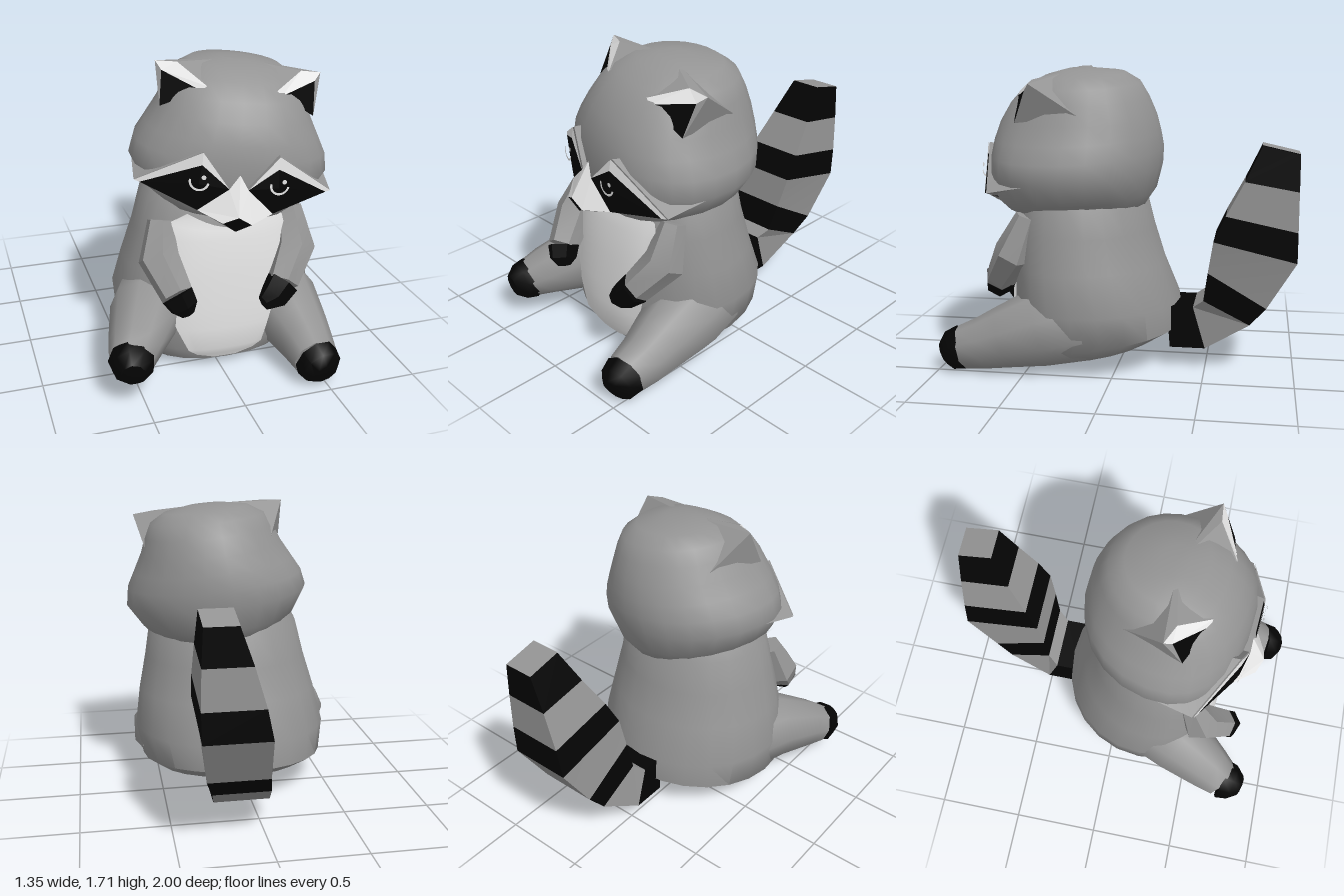
import * as THREE from 'three';
import { toCreasedNormals } from 'three/addons/utils/BufferGeometryUtils.js';

const V = (x, y, z) => new THREE.Vector3(x, y, z);
const mat = (name, color) => new THREE.MeshStandardMaterial({ name, color, side: THREE.DoubleSide });

// Flat polygons, each a list of corners; flip reverses them for mirrored parts
function poly(polys, flip = false) {
  const out = [];
  for (const p of polys) {
    const q = flip ? [...p].reverse() : p;
    for (let i = 1; i < q.length - 1; i++) out.push(q[0], q[i], q[i + 1]);
  }
  const g = new THREE.BufferGeometry().setFromPoints(out);
  g.computeVertexNormals();
  return g;
}

// Closed skin over a stack of equal-length loops, turned outward, edges sharper than crease kept hard
function loft(rings, crease = 0.9) {
  const n = rings[0].length, tris = [];
  const centre = r => r.reduce((a, p) => a.add(p), V(0, 0, 0)).divideScalar(n);
  for (let j = 0; j < rings.length - 1; j++) {
    for (let i = 0; i < n; i++) {
      const k = (i + 1) % n, a = rings[j], b = rings[j + 1];
      tris.push([a[i], a[k], b[k]], [a[i], b[k], b[i]]);
    }
  }
  const first = rings[0], last = rings[rings.length - 1], c0 = centre(first), c1 = centre(last);
  for (let i = 0; i < n; i++) {
    const k = (i + 1) % n;
    tris.push([c0, first[k], first[i]], [c1, last[i], last[k]]);
  }
  const volume = tris.reduce((s, [a, b, c]) => s + a.dot(b.clone().cross(c)), 0);
  return toCreasedNormals(poly(tris, volume < 0), crease);
}

// Rounded horizontal loop between x0..x1 and z0..z1, widest ahead of the middle, tilted so its back rises
const FRONT = 2.3, BACK = 2.05, WIDEST = 0.57;
function ring([y, x0, x1, z0, z1, tilt = 0], count = 24) {
  const cx = (x0 + x1) / 2, cz = z0 + (z1 - z0) * WIDEST, pts = [];
  for (let i = 0; i < count; i++) {
    const a = i / count * Math.PI * 2, c = Math.cos(a), s = Math.sin(a);
    const f = v => Math.sign(v) * Math.abs(v) ** (2 / (s > 0 ? FRONT : BACK));
    const z = f(s) * (s > 0 ? z1 - cz : cz - z0);
    pts.push(V(cx + f(c) * (x1 - x0) / 2, y - tilt * z, cz + z));
  }
  return pts;
}

// Limb with round sections square to its path; stations are [x, y, z, radius]
function limb(stations, sides) {
  const c = stations.map(s => V(s[0], s[1], s[2]));
  return loft(stations.map((s, i) => {
    const t = c[Math.min(i + 1, c.length - 1)].clone().sub(c[Math.max(i - 1, 0)]).normalize();
    const u = V(1, 0, 0).addScaledVector(t, -t.x).normalize(), v = t.clone().cross(u);
    return Array.from({ length: sides }, (_, k) => {
      const a = (k + 0.5) / sides * Math.PI * 2;
      return c[i].clone().addScaledVector(u, Math.cos(a) * s[3]).addScaledVector(v, Math.sin(a) * s[3]);
    });
  }), sides < 7 ? 0.5 : 0.9);
}

export function createModel() {
  const grey = mat('grey fur', 0x949494), black = mat('black fur', 0x040404), white = mat('white fur', 0xf8f8f8);
  const model = new THREE.Group();
  model.name = 'sittingRaccoon';
  const add = (parent, name, geometry, material) => {
    const m = new THREE.Mesh(geometry, material);
    m.name = name;
    parent.add(m);
    return m;
  };

  // Body
  const body = [
    [0.06, -0.22, 0.36, 0.0, 0.48, 0.1], [0.09, -0.4, 0.5, -0.2, 0.57, 0.12],
    [0.18, -0.5, 0.6, -0.35, 0.61, 0.1], [0.38, -0.52, 0.64, -0.34, 0.62], [0.6, -0.47, 0.61, -0.25, 0.61],
    [0.8, -0.41, 0.57, -0.19, 0.6], [1.0, -0.36, 0.54, -0.14, 0.56], [1.1, -0.3, 0.48, -0.08, 0.5],
  ];
  add(model, 'body', loft(body.map(r => ring(r))), grey);

  // Belly patch, laid just over the body front, its top edge dipping in the middle
  const level = body.map(([y, , , z0, z1, tilt = 0]) => y - tilt * (z1 - z0) * (1 - WIDEST));
  const frontZ = (y, x) => {
    let i = 1;
    while (i < body.length - 2 && level[i + 1] < y) i++;
    const t = (y - level[i]) / (level[i + 1] - level[i]);
    const [x0, x1, z0, z1] = [1, 2, 3, 4].map(k => body[i][k] + (body[i + 1][k] - body[i][k]) * t);
    const d = Math.min(1, Math.abs(2 * x - x0 - x1) / (x1 - x0)), cz = z0 + (z1 - z0) * WIDEST;
    return cz + (z1 - cz) * (1 - d ** FRONT) ** (1 / FRONT) + 0.012;
  };
  const rows = [[0.07, -0.04, 0.09, 0], [0.1, -0.14, 0.19, 0], [0.14, -0.19, 0.24, 0], [0.27, -0.25, 0.28, 0],
    [0.4, -0.3, 0.31, 0], [0.6, -0.3, 0.36, 0], [0.8, -0.29, 0.38, 0], [0.89, -0.28, 0.36, 0.04], [0.95, -0.18, 0.28, 0.08],
  ].map(([y, a, b, dip]) => Array.from({ length: 11 }, (_, k) => {
    const x = a + (b - a) * k / 10, h = y - dip * Math.sin(Math.PI * k / 10);
    return V(x, h, frontZ(h, x));
  }));
  const quads = [];
  for (let j = 0; j < rows.length - 1; j++)
    for (let i = 0; i < 10; i++) quads.push([rows[j][i], rows[j][i + 1], rows[j + 1][i + 1], rows[j + 1][i]]);
  add(model, 'bellyPatch', toCreasedNormals(poly(quads), 0.9), white);

  // Arms and legs, each ending in a black paw
  const limbs = [
    ['rightArm', 6, [[-0.31, 0.9, 0.46, 0.07], [-0.34, 0.71, 0.53, 0.115], [-0.28, 0.55, 0.68, 0.09]],
      [[-0.28, 0.55, 0.68, 0.093], [-0.25, 0.49, 0.71, 0.08], [-0.235, 0.45, 0.72, 0.04]]],
    ['leftArm', 6, [[0.43, 0.9, 0.48, 0.07], [0.44, 0.69, 0.56, 0.115], [0.33, 0.53, 0.67, 0.09]],
      [[0.33, 0.53, 0.67, 0.093], [0.265, 0.465, 0.7, 0.08], [0.205, 0.44, 0.715, 0.045]]],
    ['rightLeg', 9, [[-0.25, 0.33, 0.22, 0.25], [-0.4, 0.34, 0.45, 0.205], [-0.51, 0.27, 0.66, 0.15], [-0.55, 0.24, 0.74, 0.125]],
      [[-0.55, 0.24, 0.74, 0.128], [-0.56, 0.235, 0.81, 0.112], [-0.57, 0.225, 0.865, 0.065]]],
    ['leftLeg', 9, [[0.38, 0.31, 0.22, 0.25], [0.435, 0.265, 0.42, 0.225], [0.45, 0.205, 0.62, 0.18], [0.46, 0.165, 0.75, 0.15], [0.46, 0.135, 0.87, 0.125]],
      [[0.46, 0.135, 0.87, 0.128], [0.47, 0.115, 0.94, 0.112], [0.475, 0.1, 0.975, 0.07]]],
  ];
  for (const [name, sides, stations, paw] of limbs) {
    add(model, name, limb(stations, sides), grey);
    add(model, name + 'Paw', limb(paw, sides), black);
  }

  // Striped square tail; stations are [centre x, half width, inner z, inner y, outer z, outer y]
  const tail = [
    [0.1, 0.16, -0.28, 0.37, -0.3, 0.13], [0.1, 0.16, -0.43, 0.37, -0.5, 0.13], [0.14, 0.16, -0.49, 0.42, -0.75, 0.29],
    [0.17, 0.17, -0.515, 0.59, -0.84, 0.4], [0.2, 0.18, -0.545, 0.775, -1, 0.67], [0.22, 0.165, -0.61, 0.92, -1, 0.84],
    [0.25, 0.13, -0.71, 1.11, -1, 1.06], [0.28, 0.09, -0.8, 1.305, -1, 1.26],
  ].map(([x, w, zi, yi, zo, yo]) => [V(x - w, yi, zi), V(x + w, yi, zi), V(x + w, yo, zo), V(x - w, yo, zo)]);
  for (let i = 0; i < tail.length - 1; i++)
    add(model, 'tailBand' + (i + 1), loft([tail[i], tail[i + 1]], 0.1), i % 2 ? grey : black);
  add(model, 'tailTip', poly([tail[7].map(p => p.clone().add(V(0, 0.004, 0))).reverse()]), grey);

  // Head, turned and tipped slightly
  const head = new THREE.Group();
  head.name = 'head';
  head.position.set(0.145, 1.3, 0.26);
  head.rotation.set(0, -0.19, -0.1);
  model.add(head);
  add(head, 'skull', loft([
    [-0.4, 0.22, -0.27, 0.3], [-0.36, 0.36, -0.4, 0.4], [-0.28, 0.465, -0.455, 0.44], [-0.14, 0.55, -0.49, 0.45],
    [-0.04, 0.53, -0.5, 0.445], [0.05, 0.48, -0.49, 0.43], [0.15, 0.425, -0.47, 0.395], [0.25, 0.385, -0.43, 0.33],
    [0.33, 0.34, -0.385, 0.25], [0.385, 0.25, -0.3, 0.14], [0.41, 0.1, -0.12, 0.04],
  ].map(([y, w, z0, z1]) => ring([y, -w, w, z0, z1]))), grey);

  const noseTop = V(0, -0.285, 0.575), noseBottom = V(0, -0.38, 0.53);
  for (const s of [1, -1]) {
    const side = s > 0 ? 'left' : 'right', flip = s < 0;
    const P = (x, y, z) => V(s * x, y, z);
    const part = (name, polys, m) => add(head, side + name, poly(polys, flip), m);

    // Cheek, brow and eye mask
    const outer = P(0.53, -0.2, 0.325), top = P(0.2, 0.015, 0.46), inner = P(0.05, -0.165, 0.487), bottom = P(0.2, -0.3, 0.455);
    const maskOuter = P(0.5, -0.205, 0.34), maskTop = P(0.2, -0.05, 0.467), mid = P(0.21, -0.15, 0.474);
    add(head, side + 'Cheek', loft([
      [outer, top, inner, bottom].map(p => p.clone().add(V(0, 0, -0.008))),
      [P(0.535, -0.14, 0.0), P(0.25, -0.02, 0.1), P(0.1, -0.15, 0.1), P(0.25, -0.27, 0.1)],
    ], 0.5), grey);
    part('Brow', [[outer, maskTop, top], [top, maskTop, inner], [outer, maskOuter, maskTop]], white);
    part('EyeMask', [[mid, maskOuter, maskTop], [mid, maskTop, inner], [mid, inner, bottom], [mid, bottom, maskOuter]], black);

    // Eye rim and glint
    const rim = add(head, side + 'EyeRim', new THREE.RingGeometry(0.042, 0.054, 14, 1, Math.PI * 0.95, Math.PI), white);
    const glint = add(head, side + 'EyeGlint', new THREE.CircleGeometry(0.013, 8), white);
    rim.position.copy(P(0.21, -0.13, 0.485));
    glint.position.copy(P(0.21, -0.13, 0.485)).add(V(0.022, 0.02, 0));
    rim.rotation.y = glint.rotation.y = s * 0.15;

    // Snout half
    const nose = P(0.075, -0.328, 0.555), jaw = P(0.2, -0.3, 0.457), bridge = V(0, -0.09, 0.475), chin = V(0, -0.41, 0.34);
    part('Snout', [[bridge, noseTop, inner], [inner, noseTop, nose, jaw]], white);
    part('Jaw', [[nose, noseBottom, jaw], [noseBottom, chin, jaw]], grey);
    part('Nose', [[noseTop, noseBottom, nose]], black);

    // Ear: black inside, white upper rim, grey back running into the crown
    const tip = P(0.45, 0.38, 0.07), rimEnd = P(0.185, 0.305, 0.25), a = P(0.215, 0.28, 0.25), b = P(0.415, 0.165, 0.18);
    const rimTop = P(0.335, 0.388, 0.1), rimPoint = P(0.415, 0.34, 0.11);
    const c = P(0.37, 0.2, -0.17), d = V(0, 0.408, -0.02);
    part('EarInside', [[a, b, rimPoint]], black);
    part('EarRim', [[a, rimPoint, rimTop, rimEnd], [rimPoint, tip, rimTop]], white);
    part('EarBack', [[rimPoint, b, tip], [b, c, tip], [c, d, tip], [d, rimTop, tip], [d, rimEnd, rimTop]], grey);
  }
  return model;
}
